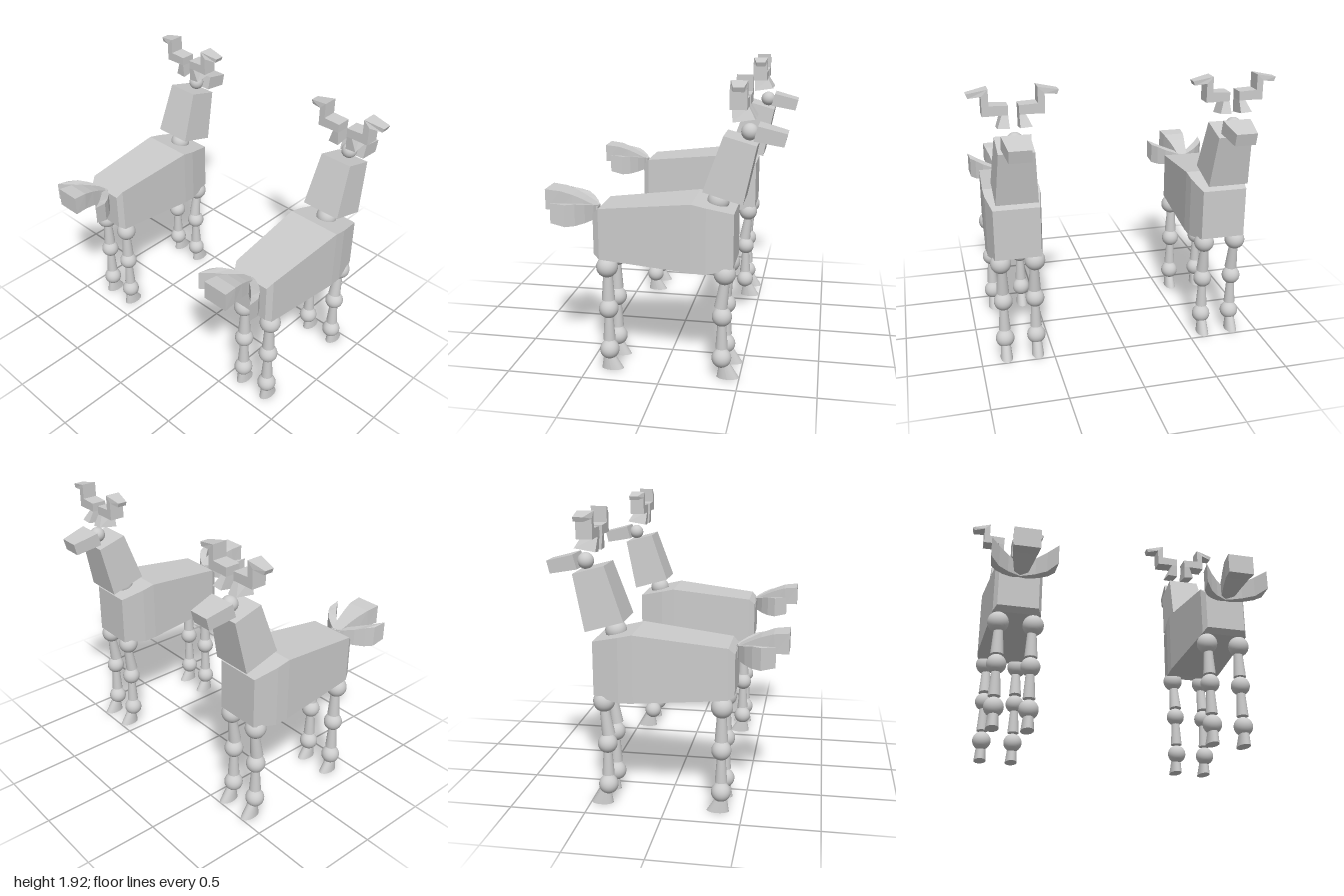
import * as THREE from 'three';

const flat = new THREE.MeshStandardMaterial({ color: 0xcccccc, flatShading: true });
const smooth = new THREE.MeshStandardMaterial({ color: 0xcccccc });

function add(parent, name, geometry, material) {
  const mesh = new THREE.Mesh(geometry, material);
  mesh.name = name;
  parent.add(mesh);
  return mesh;
}

// Closed loft through four-cornered sections, running towards +x
function loft(sections) {
  const pos = [];
  const quad = (a, b, c, d) => pos.push(...a, ...b, ...c, ...a, ...c, ...d);
  for (let i = 0; i < sections.length - 1; i++) {
    const p = sections[i], q = sections[i + 1];
    for (let j = 0; j < 4; j++) quad(p[j], q[j], q[(j + 1) % 4], p[(j + 1) % 4]);
  }
  const [a, b, c, d] = sections[0];
  quad(a, b, c, d);
  const [e, f, g, h] = sections[sections.length - 1];
  quad(h, g, f, e);
  const geo = new THREE.BufferGeometry();
  geo.setAttribute('position', new THREE.Float32BufferAttribute(pos, 3));
  geo.computeVertexNormals();
  return geo;
}

// Section symmetric in z: bottom point, top point, half width
const sec = (xLow, yLow, xHigh, yHigh, w) =>
  [[xLow, yLow, w], [xHigh, yHigh, w], [xHigh, yHigh, -w], [xLow, yLow, -w]];

function ball(parent, name, x, y, z, r) {
  add(parent, name, new THREE.SphereGeometry(r, 28, 18), smooth).position.set(x, y, z);
}

// Tapered round limb from the upper point to the lower point
function limb(parent, name, top, bottom, rTop, rBottom) {
  const a = new THREE.Vector3(...top), b = new THREE.Vector3(...bottom);
  const dir = a.clone().sub(b);
  const mesh = add(parent, name, new THREE.CylinderGeometry(rTop, rBottom, dir.length(), 24), smooth);
  mesh.position.copy(a).add(b).multiplyScalar(0.5);
  mesh.quaternion.setFromUnitVectors(new THREE.Vector3(0, 1, 0), dir.normalize());
}

// Hoof: round ankle spreading into a longer, forward-pointing oval sole
function hoofGeometry() {
  const geo = new THREE.CylinderGeometry(1, 1, 0.1, 24);
  geo.translate(0, 0.05, 0);
  const p = geo.attributes.position;
  for (let i = 0; i < p.count; i++) {
    const top = p.getY(i) > 0.05;
    p.setX(i, top ? p.getX(i) * 0.032 - 0.002 : p.getX(i) * 0.073 + 0.022);
    p.setZ(i, p.getZ(i) * (top ? 0.032 : 0.042));
  }
  geo.computeVertexNormals();
  return geo;
}

// Stepped antler outline as [outward, up], given depth along x
function antlerGeometry(side) {
  const outline = [[0.107, 1.66], [0.032, 1.655], [0.034, 1.75], [0.032, 1.81], [0.15, 1.815],
    [0.15, 1.917], [0.283, 1.892], [0.272, 1.864], [0.193, 1.874], [0.193, 1.75], [0.075, 1.752]];
  const shape = new THREE.Shape(outline.map(([u, v]) => new THREE.Vector2(-side * u, v)));
  const geo = new THREE.ExtrudeGeometry(shape, { depth: 1, bevelEnabled: false });
  geo.rotateY(Math.PI / 2);
  const p = geo.attributes.position;
  for (let i = 0; i < p.count; i++) {
    const y = p.getY(i), tip = Math.abs(p.getZ(i)) > 0.2, base = y < 1.7;
    const front = p.getX(i) > 0.5;
    p.setX(i, front ? (base ? 0.566 : tip ? 0.514 : 0.525) : (base ? 0.43 : tip ? 0.45 : 0.422));
    if (base && front) p.setY(i, y + 0.022);
  }
  geo.computeVertexNormals();
  return geo;
}

// Curved side tail feather: [outer x, outer z, inner x, inner z, low, high], tip first
function sideFeather(side) {
  const rows = [[-0.6, 0.205, -0.69, 0.215, 0.985, 1.14], [-0.545, 0.17, -0.61, 0.155, 0.985, 1.125],
    [-0.495, 0.12, -0.54, 0.09, 0.992, 1.11], [-0.455, 0.06, -0.495, 0.035, 1.0, 1.095],
    [-0.435, 0.015, -0.455, -0.01, 1.01, 1.085]];
  return loft(rows.map(([ox, oz, ix, iz, lo, hi], i) => {
    const tilt = i === 0 ? 0.025 : 0;
    const s = [[ox, lo, oz * side], [ox, hi - tilt / 2, oz * side],
      [ix, hi, iz * side], [ix, lo + tilt, iz * side]];
    return side > 0 ? s : s.reverse();
  }));
}

function makeDeer(name) {
  const deer = new THREE.Group();
  deer.name = name;

  // Torso, neck and head
  add(deer, 'body', loft([
    sec(-0.44, 0.797, -0.44, 1.06, 0.135), sec(-0.4, 0.767, -0.4, 1.1, 0.158),
    sec(0.195, 0.726, 0.195, 1.167, 0.191), sec(0.287, 0.72, 0.287, 1.146, 0.187),
    sec(0.455, 0.756, 0.455, 1.107, 0.155)]), flat);
  ball(deer, 'neckJoint', 0.338, 1.15, 0, 0.07);
  add(deer, 'neck', loft([
    sec(0.256, 1.234, 0.378, 1.579, 0).map(([x, y], i) => [x, y, [0.139, 0.115, -0.115, -0.139][i]]),
    sec(0.505, 1.162, 0.581, 1.523, 0).map(([x, y], i) => [x, y, [0.139, 0.115, -0.115, -0.139][i]]),
  ]), flat);
  ball(deer, 'headJoint', 0.525, 1.59, 0, 0.053);
  add(deer, 'head', loft([
    sec(0.556, 1.548, 0.581, 1.64, 0.094), sec(0.739, 1.513, 0.759, 1.594, 0.071)]), flat);

  // Fanned tail
  add(deer, 'middleTailFeather', loft([
    sec(-0.764, 1.061, -0.764, 1.193, 0.088), sec(-0.68, 1.06, -0.667, 1.183, 0.08),
    sec(-0.59, 1.04, -0.59, 1.157, 0.064), sec(-0.525, 1.02, -0.525, 1.127, 0.05),
    sec(-0.435, 1.01, -0.435, 1.08, 0.035)]), flat);

  const hoof = hoofGeometry();
  for (const side of [1, -1]) {
    const label = side > 0 ? 'left' : 'right';
    add(deer, label + 'TailFeather', sideFeather(side), flat);
    add(deer, label + 'Antler', antlerGeometry(side), flat);

    // Jointed legs: hip x and knee x for the front and hind pairs
    for (const [end, hipX, kneeX] of [['Front', 0.398, 0.383], ['Hind', -0.36, -0.358]]) {
      const leg = new THREE.Group();
      leg.name = label + end + 'Leg';
      deer.add(leg);
      const z = 0.109 * side, hipZ = 0.115 * side;
      const shinX = kneeX - (end === 'Front' ? 0.008 : 0);
      ball(leg, 'hip', hipX, 0.708, hipZ, 0.07);
      limb(leg, 'upperLeg', [hipX + 0.002, 0.66, z], [shinX, 0.482, z], 0.03, 0.043);
      ball(leg, 'knee', kneeX, 0.418, z, 0.064);
      limb(leg, 'lowerLeg', [kneeX, 0.37, z], [kneeX, 0.203, z], 0.028, 0.04);
      ball(leg, 'ankle', kneeX, 0.132, z, 0.064);
      add(leg, 'hoof', hoof, smooth).position.set(kneeX + (end === 'Front' ? 0.021 : -0.003), 0, z);
    }
  }
  return deer;
}

export function createModel() {
  const group = new THREE.Group();
  group.name = 'deerPair';
  for (const [name, z] of [['nearDeer', 0.717], ['farDeer', -0.717]]) {
    const deer = makeDeer(name);
    deer.position.z = z;
    group.add(deer);
  }
  return group;
}
